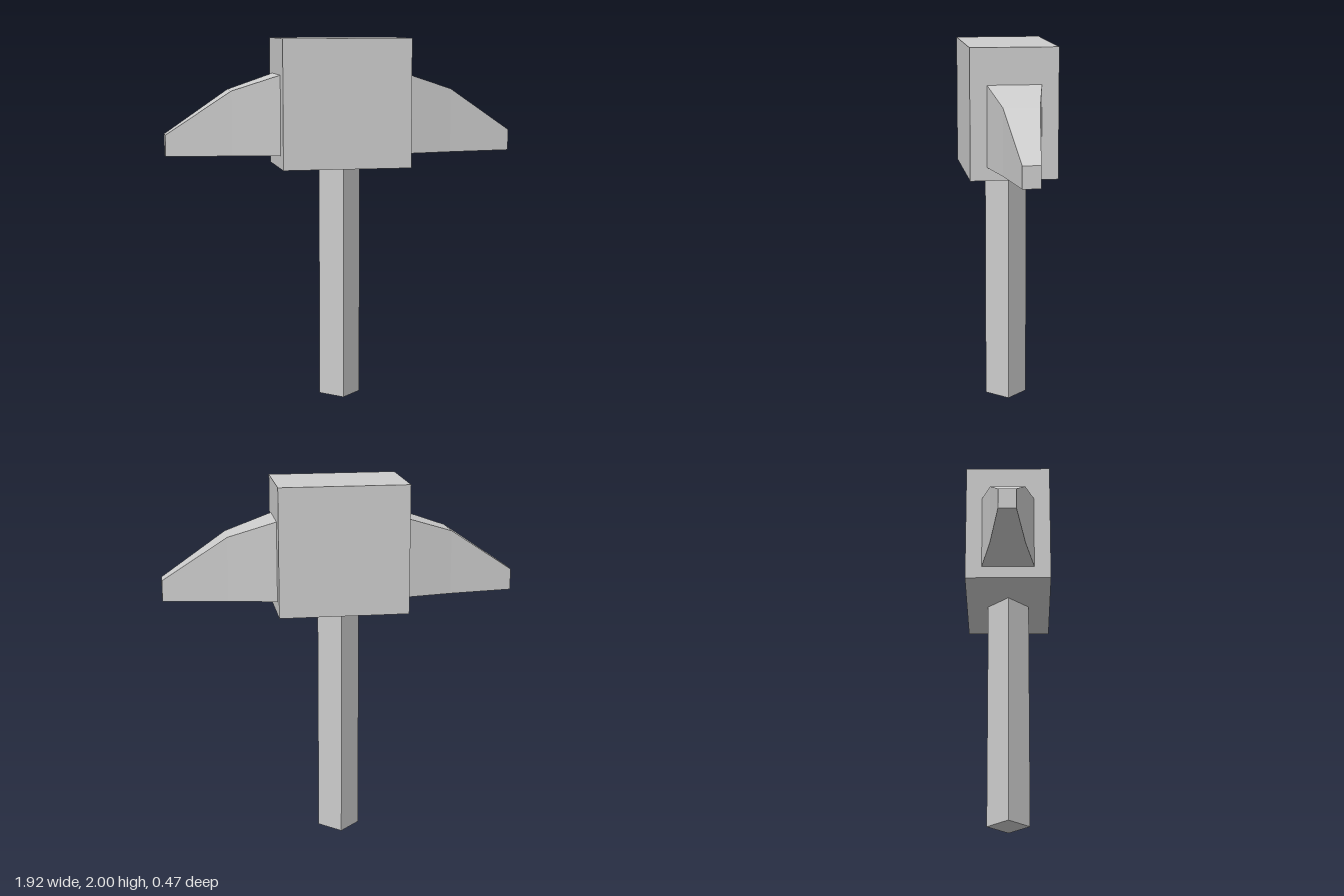
import * as THREE from 'three';

// Tapering claw: a box with three cross-sections along x, flat underneath
function clawGeometry() {
  const sections = [
    { x: 0.35, top: 1.805, halfDepth: 0.145 },
    { x: 0.61, top: 1.72, halfDepth: 0.095 },
    { x: 0.962, top: 1.485, halfDepth: 0.047 },
  ];
  const box = new THREE.BoxGeometry(2, 2, 2, 2, 1, 1);
  const p = box.attributes.position;
  for (let i = 0; i < p.count; i++) {
    const s = sections[Math.round(p.getX(i)) + 1];
    p.setXYZ(i, s.x, p.getY(i) > 0 ? s.top : 1.37, p.getZ(i) * s.halfDepth);
  }
  const geometry = box.toNonIndexed();
  geometry.computeVertexNormals();
  return geometry;
}

export function createModel() {
  const group = new THREE.Group();
  const stone = new THREE.MeshStandardMaterial({ color: 0xcccccc });
  stone.name = 'pale grey';
  stone.flatShading = true;

  const add = (name, geometry, y = 0) => {
    const mesh = new THREE.Mesh(geometry, stone);
    mesh.name = name;
    mesh.position.y = y;
    group.add(mesh);
    return mesh;
  };

  // Four-sided handle with an edge facing the front
  add('handle', new THREE.CylinderGeometry(0.115, 0.115, 1.3, 4), 0.65);

  // Block head
  add('head', new THREE.BoxGeometry(0.704, 0.7, 0.47), 1.65);

  // Claws on both sides
  const claw = clawGeometry();
  add('leftClaw', claw);
  add('rightClaw', claw).rotation.y = Math.PI;

  return group;
}
